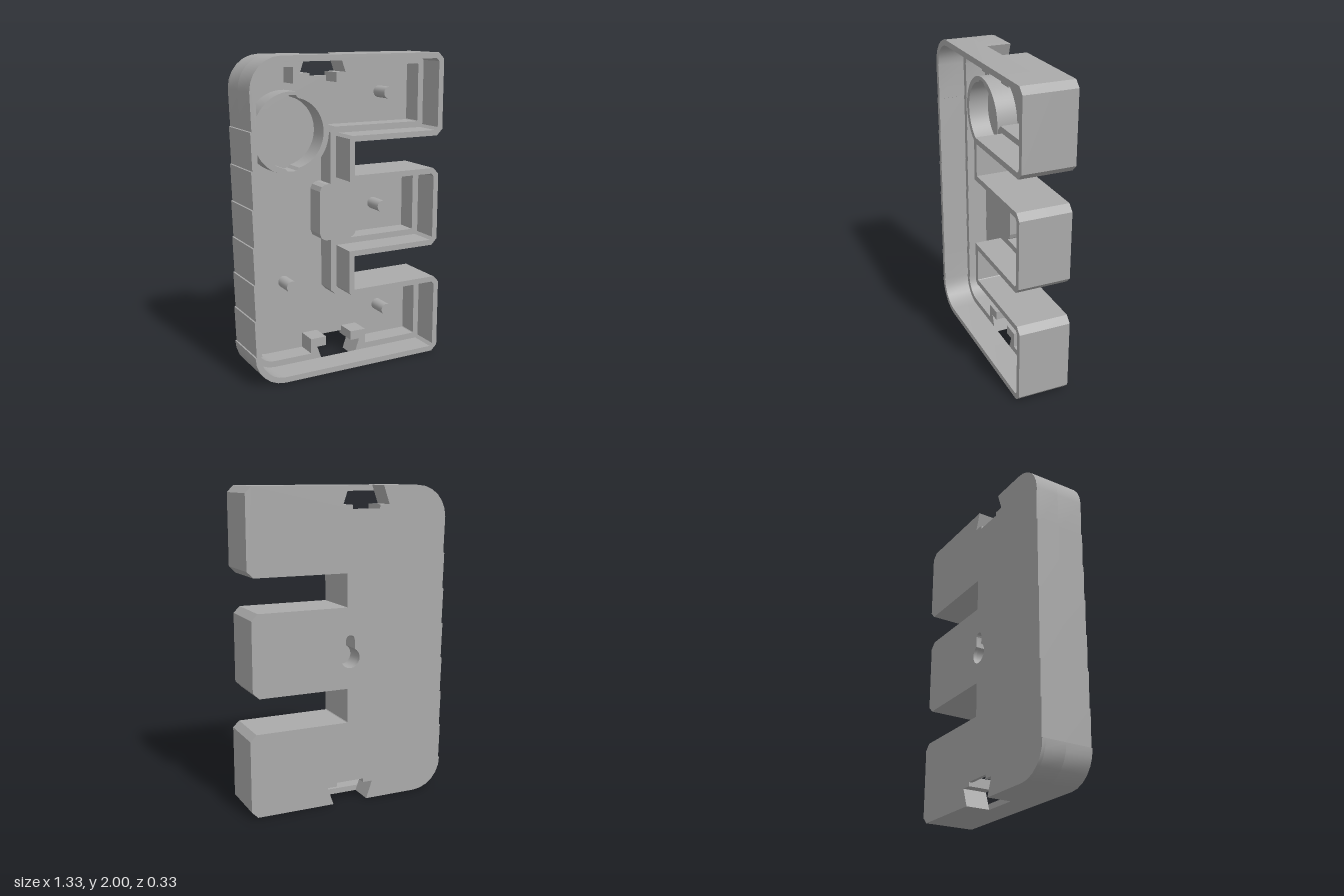
import * as THREE from 'three';
import { toCreasedNormals } from 'three/addons/utils/BufferGeometryUtils.js';

// Depth levels: back face, floor top, ledge, front rim
const Z = { back: -0.167, floor: -0.145, ledge: -0.01, front: 0.167 };
const LIP = 0.036, WALL = 0.076;

// Outline pieces, counter-clockwise, each inset by d
function leftSide(d) {
  const pts = [], r = 0.2 - d, cx = -0.465, n = 6, panels = 7;
  for (let i = 0; i <= n; i++) {
    const a = Math.PI / 2 * (1 + i / n);
    pts.push([cx + r * Math.cos(a), 1.8 + r * Math.sin(a)]);
  }
  // slightly stepped panels down the side
  for (let i = 0; i < panels; i++) {
    const y = 1.8 - 1.6 * (i + 1) / panels;
    pts.push([-0.657 + d, y + 0.003]);
    if (i < panels - 1) pts.push([-0.665 + d, y]);
  }
  for (let i = 0; i <= n; i++) {
    const a = Math.PI * (1 + i / n / 2);
    pts.push([cx + r * Math.cos(a), 0.2 + r * Math.sin(a)]);
  }
  return pts;
}

// Chamfered free end of an arm
function armEnd(x, y0, y1, d) {
  const c = Math.max(0.004, 0.04 - 0.6 * d), X = x - d, a = y0 + d, b = y1 - d;
  return [[X - c, a], [X, a + c], [X, b - c], [X - c, b]];
}
const slotX = (d) => 0.02 - d;
const nick = (d) => 0.004 + 0.4 * d;
const bottomArm = (d) => [...armEnd(0.664, 0, 0.53, d),
  [slotX(d) + nick(d), 0.53 - d], [slotX(d), 0.53 - d + nick(d)]];
const middleArm = (d) => [[slotX(d), 0.75 + d], ...armEnd(0.642, 0.75, 1.265, d), [slotX(d), 1.265 - d]];
const topArm = (d) => [[slotX(d), 1.475 + d - nick(d)], [slotX(d) + nick(d), 1.475 + d],
  ...armEnd(0.664, 1.475, 2, d)];
const outline = (d) => [...leftSide(d), ...bottomArm(d), ...middleArm(d), ...topArm(d)];

// Dovetail sockets: half profiles running inwards from the edge
const sockets = { top: { cx: -0.107, y: 2, dir: -1 }, bottom: { cx: 0, y: 0, dir: 1 } };
const place = (k, s, pts) => pts.map(([x, y]) => [k.cx + s * x, k.y + k.dir * y]);
const socketWall = (k, s) => place(k, s,
  [[0.117, 0], [0.157, 0.115], [0.092, 0.115], [0.092, 0.175], [0.202, 0.175], [0.202, WALL]]);
const socketCut = (k, s) => place(k, s, [[0.117, 0], [0.157, 0.115], [0.092, 0.115], [0.092, 0.14]]);

// Keyhole: round head with a narrow slot above
function keyhole(r, w, top) {
  const pts = [], cy = 0.945, a0 = Math.acos(w / r);
  for (let i = 0; i <= 20; i++) {
    const a = Math.PI - a0 + (Math.PI + 2 * a0) * i / 20;
    pts.push([r * Math.cos(a), cy + r * Math.sin(a)]);
  }
  for (let i = 0; i <= 8; i++) {
    const a = Math.PI * i / 8;
    pts.push([w * Math.cos(a), top - w + w * Math.sin(a)]);
  }
  return pts;
}

const toVecs = (pts) => pts.map(([x, y]) => new THREE.Vector2(x, y));

export function createModel() {
  const group = new THREE.Group();
  const grey = new THREE.MeshStandardMaterial({ color: 0xaaaaaa });
  grey.name = 'plain grey';

  function add(name, geo) {
    const mesh = new THREE.Mesh(geo, grey);
    mesh.name = name;
    group.add(mesh);
    return mesh;
  }
  function slab(name, pts, holes, z0, z1) {
    const shape = new THREE.Shape(toVecs(pts));
    shape.holes = holes.map((h) => new THREE.Path(toVecs(h)));
    const geo = new THREE.ExtrudeGeometry(shape, { depth: z1 - z0, bevelEnabled: false });
    geo.translate(0, 0, z0);
    return add(name, toCreasedNormals(geo, 0.35));
  }
  const { top, bottom } = sockets;
  const hole = keyhole(0.064, 0.03, 1.09);

  // Back panel with the socket cuts and the keyhole
  slab('backPanel', [
    ...leftSide(0),
    ...socketCut(bottom, -1), ...socketCut(bottom, 1).reverse(),
    ...bottomArm(0), ...middleArm(0), ...topArm(0),
    ...socketCut(top, 1), ...socketCut(top, -1).reverse(),
  ], [hole], Z.back, Z.floor);

  // Thick lower wall, parted at the two sockets
  slab('leftLowerWall', [
    ...leftSide(0), ...socketWall(bottom, -1),
    ...leftSide(WALL).reverse(), ...socketWall(top, -1).reverse(),
  ], [], Z.floor, Z.ledge);

  // Right side carries the hanger block and the middle arm pocket
  const block = [[-0.056, 1.19], [-0.09, 1.19], [-0.12, 1.175], [-0.132, 1.145],
    [-0.132, 0.87], [-0.12, 0.84], [-0.09, 0.825], [-0.056, 0.825]];
  const pocket = [[0.09, 0.825], [0.562, 0.825], [0.562, 1.19], [0.09, 1.19],
    [0.118, 1.172], [0.13, 1.14], [0.13, 0.875], [0.118, 0.843]];
  slab('rightLowerWall', [
    ...socketWall(bottom, 1).reverse(),
    ...bottomArm(0), ...middleArm(0), ...topArm(0),
    ...socketWall(top, 1),
    ...topArm(WALL).reverse(), ...block, ...bottomArm(WALL).reverse(),
  ], [pocket, hole], Z.floor, Z.ledge);
  slab('keyholeCap', hole, [], Z.ledge - 0.025, Z.ledge);

  // Thin front lip
  slab('frontLip', outline(0), [outline(LIP)], Z.ledge, Z.front);

  // Round holder with two small notches
  const ringCentre = [-0.322, 1.525];
  const circle = (r, notched) => Array.from({ length: 72 }, (_, i) => {
    const a = (i + 0.5) / 72 * Math.PI * 2;
    const R = notched && Math.abs(Math.cos(a)) < 0.18 ? r + 0.015 : r;
    return [ringCentre[0] + R * Math.cos(a), ringCentre[1] + R * Math.sin(a)];
  });
  slab('roundHolder', circle(0.255, false), [circle(0.218, true)], Z.floor, Z.ledge);

  // Support pegs
  for (const [x, y] of [[0.37, 1.745], [0.33, 1.005], [-0.33, 0.55], [0.37, 0.285]]) {
    const len = Z.ledge - Z.floor;
    const geo = new THREE.CylinderGeometry(0.038, 0.038, len, 28).rotateX(Math.PI / 2);
    add('supportPeg', geo).position.set(x, y, Z.floor + len / 2);
  }
  return group;
}
